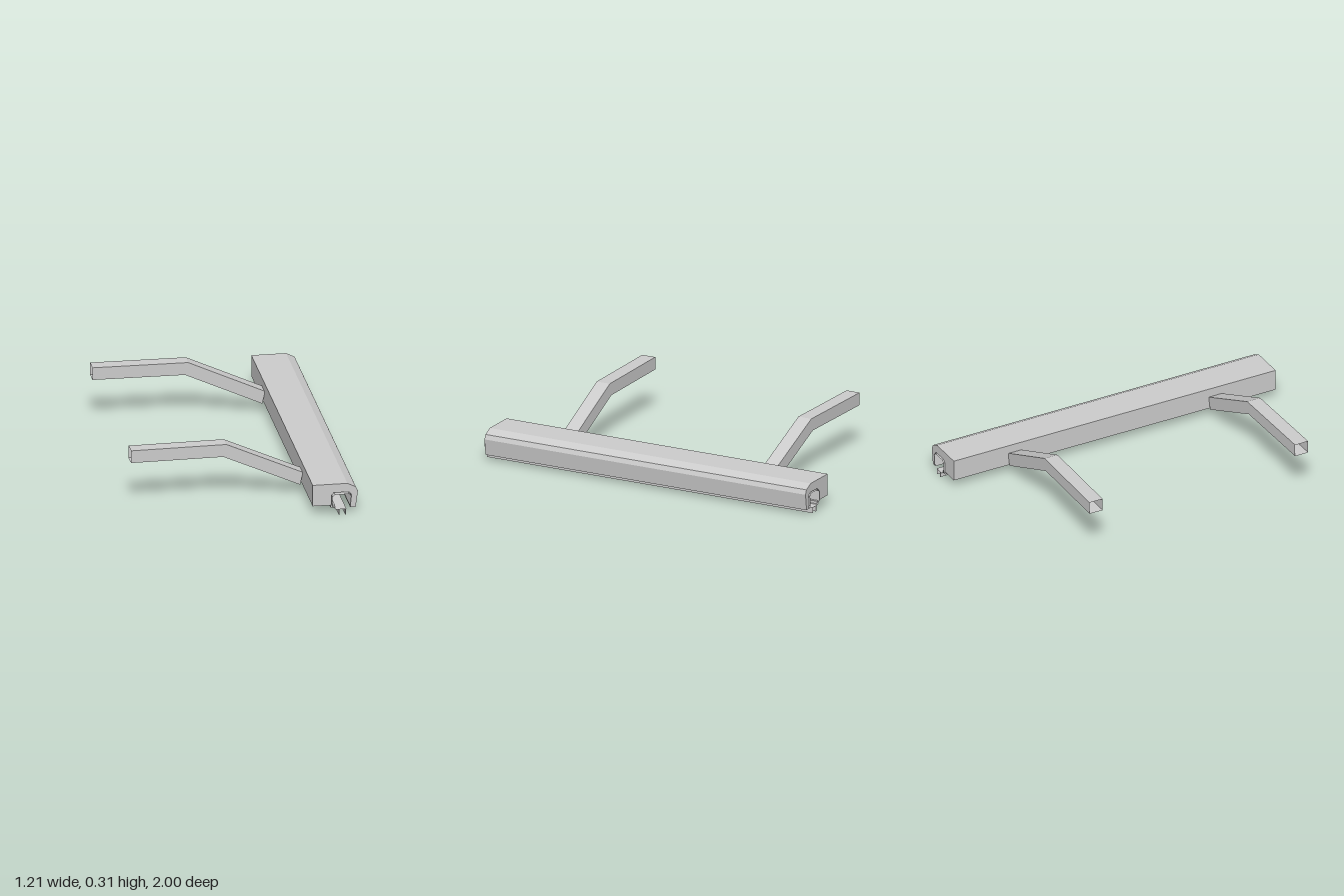
import * as THREE from 'three';

const grey = new THREE.MeshStandardMaterial({ color: 0xcccccc, flatShading: true, side: THREE.DoubleSide });

function addMesh(parent, geometry, name) {
  const mesh = new THREE.Mesh(geometry, grey);
  mesh.name = name;
  parent.add(mesh);
  return mesh;
}

// Solid profile in x/y, extruded along z about the middle
function extrudeZ(points, length) {
  const shape = new THREE.Shape(points.map(([x, y]) => new THREE.Vector2(x, y)));
  return new THREE.ExtrudeGeometry(shape, { depth: length, bevelEnabled: false }).translate(0, 0, -length / 2);
}

// Thin sheet joining corresponding points of successive cross-sections
function loft(sections, closed) {
  const n = sections[0].length, index = [];
  for (let s = 0; s < sections.length - 1; s++) {
    for (let i = 0; i < (closed ? n : n - 1); i++) {
      const a = s * n + i, b = s * n + (i + 1) % n;
      index.push(a, b, b + n, a, b + n, a + n);
    }
  }
  const geometry = new THREE.BufferGeometry();
  geometry.setAttribute('position', new THREE.Float32BufferAttribute(sections.flat(2), 3));
  geometry.setIndex(index);
  const flat = geometry.toNonIndexed();
  flat.computeVertexNormals();
  return flat;
}

// Cranked square tube, open at its free end; its origin is where it meets the housing
function addArm(parent, name, x, z, turn) {
  const h = 0.04;
  const section = (xb, yb, xt, yt) => [[xb, yb, -h], [xb, yb, h], [xt, yt, h], [xt, yt, -h]];
  const arm = addMesh(parent, loft([
    section(-0.935, 0.24, -0.935, 0.31),
    section(-0.432, 0.24, -0.415, 0.31),
    section(-0.012, 0.05, 0.003, 0.12),
  ], true), name);
  arm.position.set(x, 0, z);
  arm.rotation.y = turn;
}

export function createModel() {
  const model = new THREE.Group();
  model.name = 'retractedAwning';

  // Long housing with its front flap and open channel, turned slightly
  const bar = new THREE.Group();
  bar.name = 'housingAssembly';
  bar.rotation.y = 0.0165;
  model.add(bar);

  const outline = [
    [0.338, 0.05], [0.439, 0.05], [0.439, 0.107], [0.453, 0.121], [0.536, 0.121], [0.549, 0.107],
    [0.542, 0.032], [0.572, 0.032], [0.584, 0.122], [0.573, 0.147], [0.527, 0.17], [0.338, 0.17],
  ];
  addMesh(bar, extrudeZ(outline, 1.97), 'housing');

  // Thin liner inside the channel, projecting a little past both ends
  const liner = [
    [0.518, 0.032], [0.46, 0.032], [0.443, 0.048], [0.443, 0.105], [0.456, 0.117],
    [0.533, 0.117], [0.545, 0.105], [0.539, 0.045],
  ];
  const sections = [-0.992, 1.007].map(z => liner.map(([x, y]) => [x, y, z]));
  addMesh(bar, loft(sections, false), 'channelLiner');

  // Twin rails hanging under the channel
  for (const x of [0.479, 0.513]) {
    addMesh(bar, new THREE.BoxGeometry(0.004, 0.032, 1.999).translate(x, 0.016, 0.0075), 'lowerRail');
  }

  // Small lip along the underside
  addMesh(bar, new THREE.BoxGeometry(0.024, 0.014, 1.97).translate(0.447, 0.043, 0), 'undersideLip');

  // Support arms
  addArm(model, 'rightRearArm', 0.33, -0.615, 0);
  addArm(model, 'frontArm', 0.347, 0.61, 0.0335);

  return model;
}
